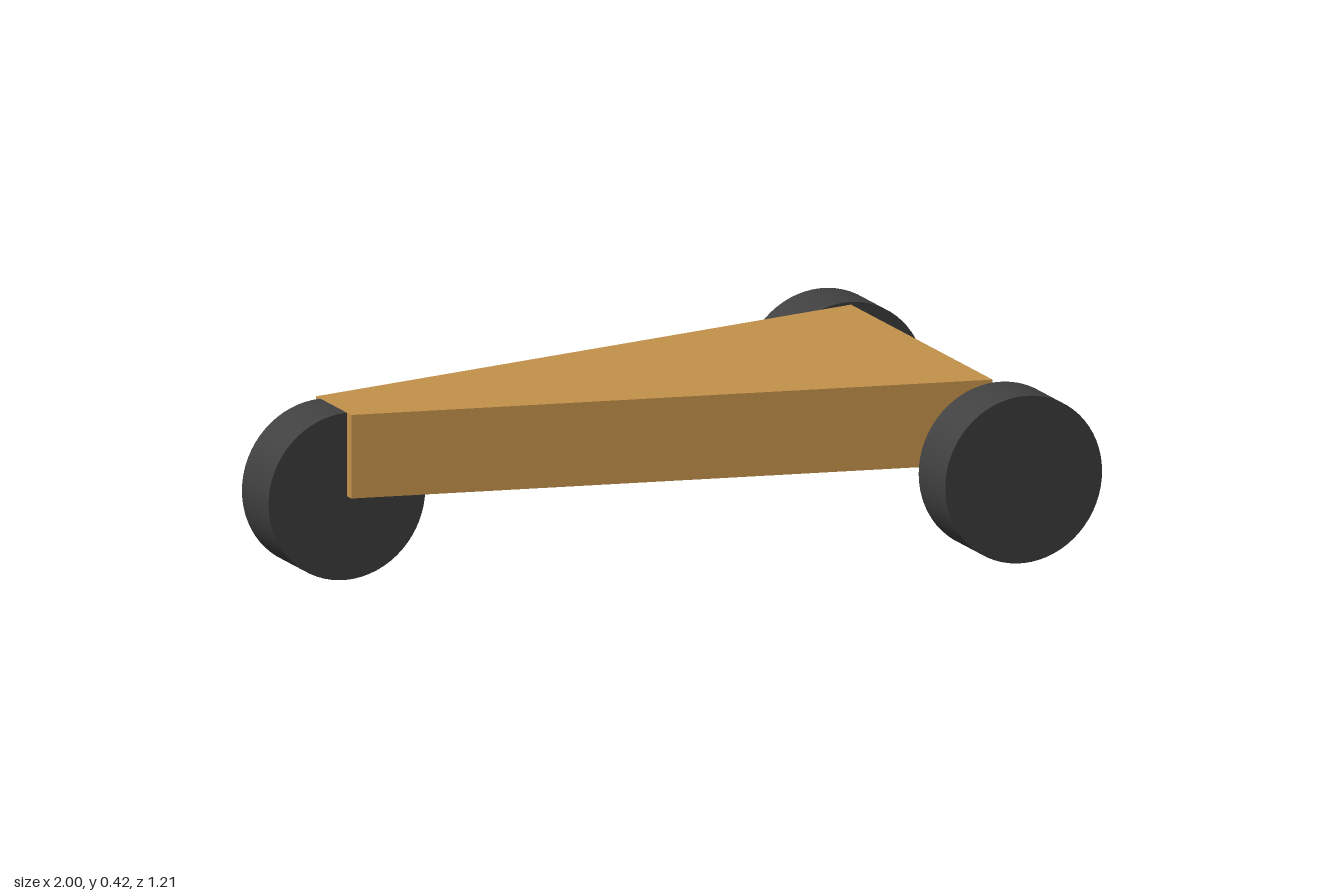
import * as THREE from 'three';

const R = 0.2105;       // wheel radius, also the axle and deck underside height
const AXLE_X = 0.7895;  // distance of both axles from the centre

export function createModel() {
  const model = new THREE.Group();
  model.name = 'threeWheeledCart';

  const wood = new THREE.MeshStandardMaterial({ color: 0xc4924b });
  wood.name = 'wood';
  const rubber = new THREE.MeshStandardMaterial({ color: 0x404040 });
  rubber.name = 'darkRubber';

  // Tapered deck: trapezoid plan, narrow at -x, extruded upward
  const plan = new THREE.Shape([
    new THREE.Vector2(-AXLE_X, -0.105),
    new THREE.Vector2(AXLE_X, -0.421),
    new THREE.Vector2(AXLE_X, 0.421),
    new THREE.Vector2(-AXLE_X, 0.105),
  ]);
  const deckGeometry = new THREE.ExtrudeGeometry(plan, { depth: R, bevelEnabled: false });
  deckGeometry.rotateX(-Math.PI / 2).translate(0, R, 0);
  const deck = new THREE.Mesh(deckGeometry, wood);
  deck.name = 'deck';
  model.add(deck);

  // One wheel under the narrow end, a pair beside the wide end
  const wheelGeometry = new THREE.CylinderGeometry(R, R, 0.158, 64);
  wheelGeometry.rotateX(Math.PI / 2);
  const wheels = [
    ['singleWheel', -AXLE_X, 0],
    ['frontSideWheel', AXLE_X, 0.526],
    ['backSideWheel', AXLE_X, -0.526],
  ];
  for (const [name, x, z] of wheels) {
    const wheel = new THREE.Mesh(wheelGeometry, rubber);
    wheel.name = name;
    wheel.position.set(x, R, z);
    model.add(wheel);
  }

  return model;
}
